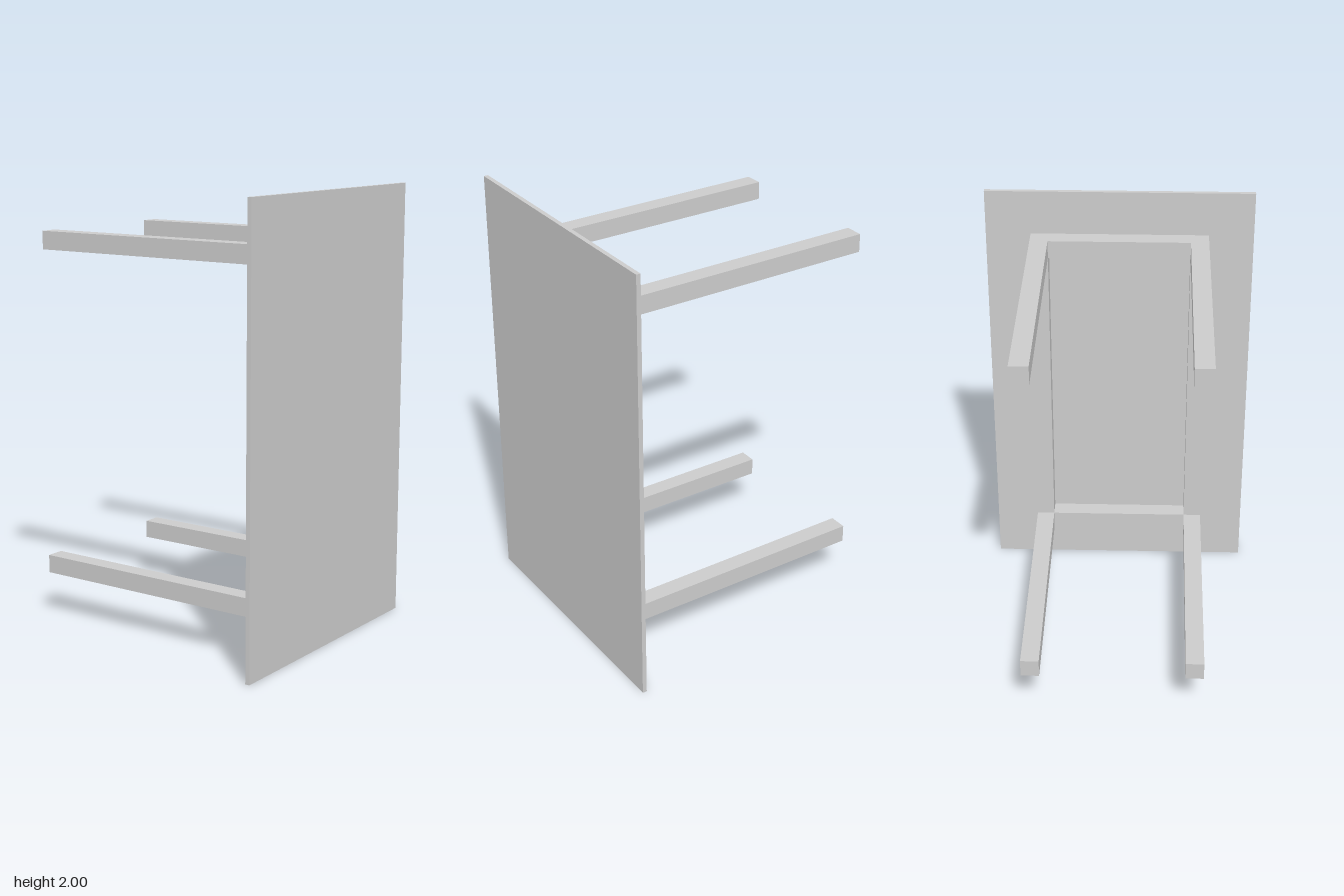
import * as THREE from 'three';

export function createModel() {
  const group = new THREE.Group();
  const material = new THREE.MeshStandardMaterial({ color: 0xcccccc, flatShading: true });

  const width = 1.234, height = 2, depth = 1.266; // overall size
  const thickness = 0.02;                         // tabletop panel
  const bar = 0.083;                              // square bar of frame and legs
  const inset = 0.207;                            // overhang of the tabletop
  const front = depth / 2;
  const frameX = width / 2 - inset, frameY = height / 2 - inset;
  const frameFront = front - thickness, frameBack = frameFront - bar;

  function add(name, geometry, x, y, z) {
    const mesh = new THREE.Mesh(geometry, material);
    mesh.name = name;
    mesh.position.set(x, y, z);
    group.add(mesh);
  }

  // Table standing on its short edge, top facing forward
  add('tabletop', new THREE.BoxGeometry(width, height, thickness), 0, height / 2, front - thickness / 2);

  // Rectangular apron frame behind the top
  const rectangle = (PathType, x, y) => new PathType([
    new THREE.Vector2(-x, -y), new THREE.Vector2(x, -y),
    new THREE.Vector2(x, y), new THREE.Vector2(-x, y),
  ]);
  const outline = rectangle(THREE.Shape, frameX, frameY);
  outline.holes.push(rectangle(THREE.Path, frameX - bar, frameY - bar));
  add('apronFrame', new THREE.ExtrudeGeometry(outline, { depth: bar, bevelEnabled: false }), 0, height / 2, frameBack);

  // Four legs reaching backward from the frame corners
  const legLength = frameBack + depth / 2;
  const legGeometry = new THREE.BoxGeometry(bar, bar, legLength);
  for (const sx of [-1, 1]) {
    for (const sy of [-1, 1]) {
      const name = (sy > 0 ? 'upper' : 'lower') + (sx > 0 ? 'Left' : 'Right') + 'Leg';
      add(name, legGeometry, sx * (frameX - bar / 2), height / 2 + sy * (frameY - bar / 2), frameBack - legLength / 2);
    }
  }

  return group;
}
